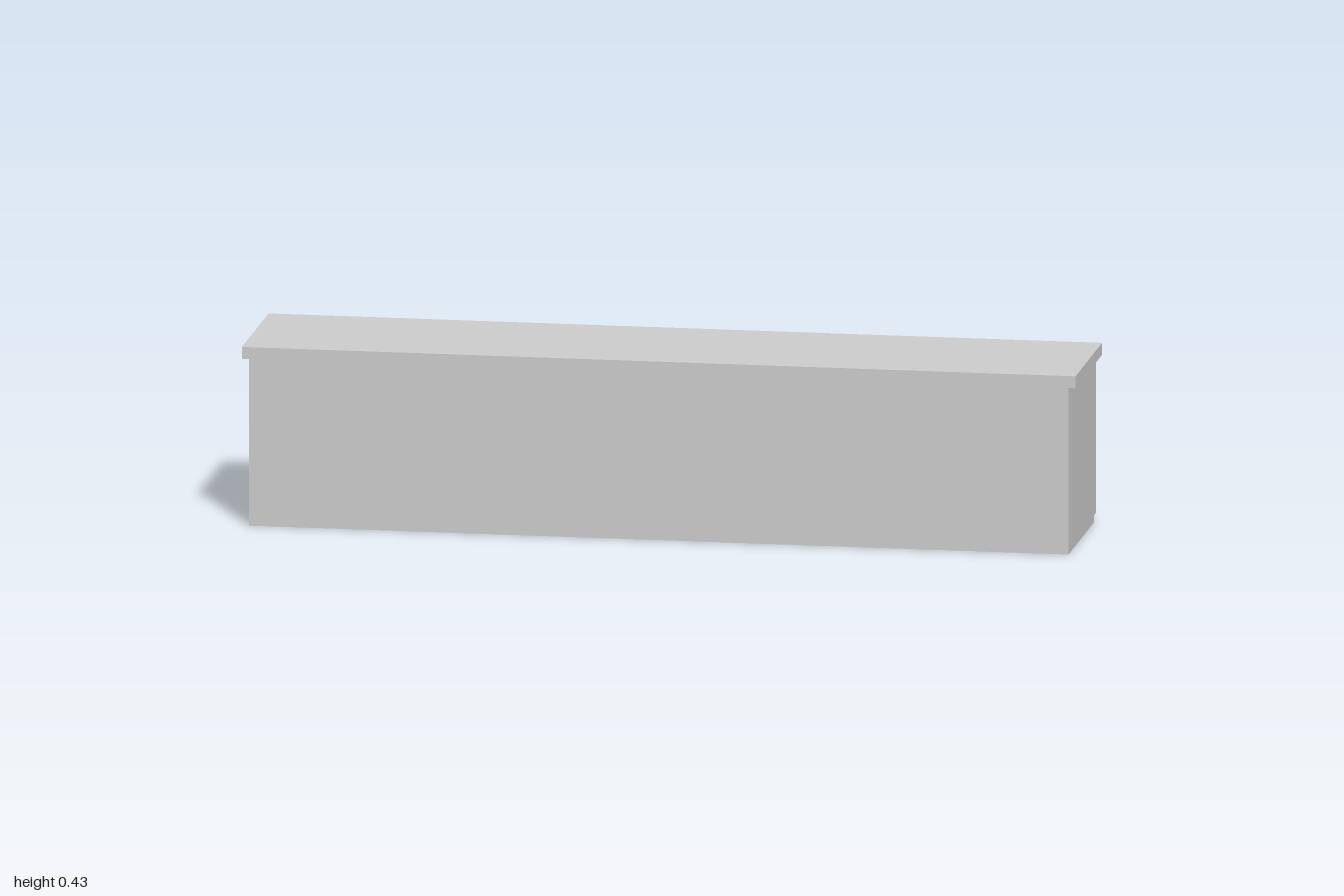
import * as THREE from 'three';

// Box given by its half width and its y and z ranges
function slab(name, halfWidth, [y0, y1], [z0, z1], material) {
  const mesh = new THREE.Mesh(new THREE.BoxGeometry(halfWidth * 2, y1 - y0, z1 - z0), material);
  mesh.position.set(0, (y0 + y1) / 2, (z0 + z1) / 2);
  mesh.name = name;
  return mesh;
}

export function createModel() {
  const group = new THREE.Group();
  group.name = 'counter';
  const grey = new THREE.MeshStandardMaterial({ color: 0xcccccc });

  // Main cabinet, standing on the ground
  group.add(slab('cabinetBody', 0.983, [0, 0.403], [-0.167, 0.199], grey));
  // Worktop, flush at the front and overhanging the ends and back
  group.add(slab('worktop', 1, [0.403, 0.432], [-0.182, 0.199], grey));
  // Raised panel on the back, short of the floor and the worktop
  group.add(slab('backPanel', 0.983, [0.017, 0.386], [-0.167, -0.199], grey));
  group.getObjectByName('backPanel').geometry = new THREE.BoxGeometry(1.966, 0.369, 0.032);
  return group;
}
